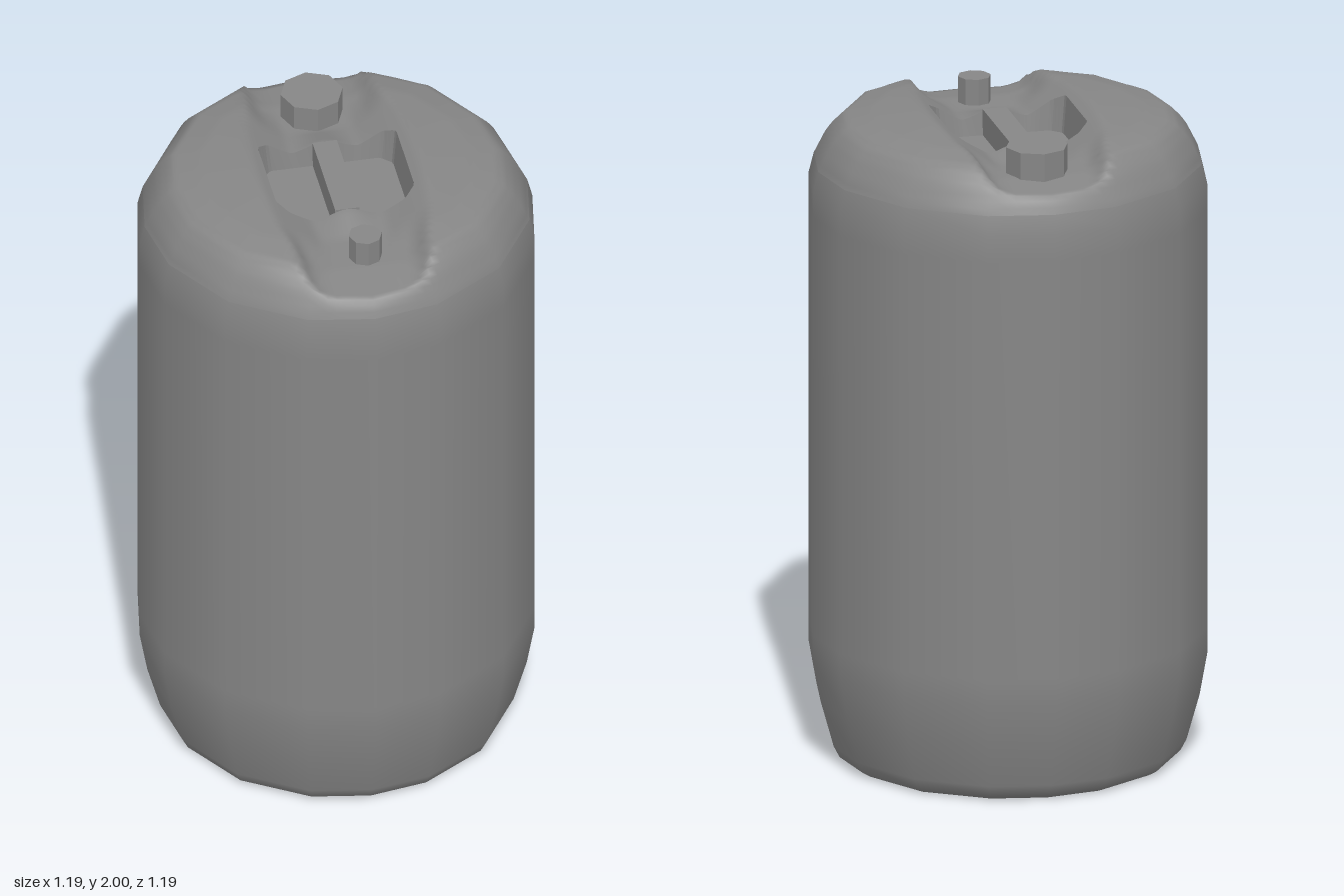
import * as THREE from 'three';

const DIRS = 128, RINGS = 44, LID_RADIUS = 0.58;
const TAU = Math.PI * 2;

// Piecewise-linear lookup in a short list of [x, y] points
function lookup(points, x) {
  for (let i = 1; i < points.length; i++) {
    const [x0, y0] = points[i - 1], [x1, y1] = points[i];
    if (x <= x1) return y0 + (y1 - y0) * (x - x0) / (x1 - x0);
  }
  return points.at(-1)[1];
}

const DOME = [[0, 2], [0.25, 2], [0.41, 1.986], [0.495, 1.967], [0.525, 1.937],
  [0.545, 1.91], [0.58, 1.84], [0.595, 1.78]];
// Channel cross-section near the handle, and steeper at the rim
const CHANNEL_MIDDLE = [[0, 1.91], [0.1, 1.91], [0.2, 1.974], [0.25, 2.002]];
const CHANNEL_END = [[0, 1.91], [0.11, 1.91], [0.16, 1.926], [0.2, 1.978], [0.22, 2.002]];

// Corners of one quarter of the 16-sided outline, slightly uneven
const CORNERS = [0, 7, 16, 25, 32].map(i => i / DIRS * TAU);

// Radius of the outline relative to its corners
function sideFactor(angle) {
  const a = Math.atan2(Math.abs(Math.sin(angle)), Math.abs(Math.cos(angle)));
  const i = Math.max(1, CORNERS.findIndex(corner => a <= corner + 1e-6));
  const from = CORNERS[i - 1], to = CORNERS[i];
  return Math.cos((to - from) / 2) / Math.cos(a - (from + to) / 2);
}

// Lid height: domed top cut by a front-to-back channel that swells at the handle ends
function lidHeight(x, z, factor) {
  const ax = Math.abs(x), az = Math.abs(z);
  const end = THREE.MathUtils.smoothstep(az, 0.25, 0.4);
  const swell = 0.035 * Math.exp(-((x / 0.07) ** 2)) * THREE.MathUtils.clamp(1 - (az - 0.17) / 0.1, 0, 1);
  const channel = THREE.MathUtils.lerp(lookup(CHANNEL_MIDDLE, ax), lookup(CHANNEL_END, ax), end)
    + swell - 0.14 * Math.max(0, az - 0.41);
  const dome = lookup(DOME, Math.hypot(x, z) / factor);
  return ax < 0.25 ? Math.min(dome, channel) : dome;
}

// Distance from the centre to the chamfered rectangle around the grip recess
function recessRadius(angle) {
  const c = Math.abs(Math.cos(angle)), s = Math.abs(Math.sin(angle));
  return Math.min(0.21 / Math.max(c, 1e-6), 0.17 / Math.max(s, 1e-6), 0.345 / (c + s));
}

// Upward-facing surface from rings ordered from the inside out
function ringSurface(ringCount, pointAt) {
  const positions = [], index = [];
  for (let r = 0; r < ringCount; r++) {
    for (let i = 0; i <= DIRS; i++) {
      positions.push(...pointAt(r, (i % DIRS) / DIRS * TAU));
      if (r + 1 < ringCount && i < DIRS) {
        const a = r * (DIRS + 1) + i, b = a + DIRS + 1;
        index.push(a, a + 1, b, b, a + 1, b + 1);
      }
    }
  }
  const geometry = new THREE.BufferGeometry();
  geometry.setAttribute('position', new THREE.Float32BufferAttribute(positions, 3));
  geometry.setIndex(index);
  return geometry;
}

function lidGeometry() {
  const geometry = ringSurface(RINGS + 1, (r, angle) => {
    const f = sideFactor(angle);
    const radius = THREE.MathUtils.lerp(recessRadius(angle), LID_RADIUS * f, r / RINGS);
    const x = radius * Math.cos(angle), z = radius * Math.sin(angle);
    return [x, lidHeight(x, z, f), z];
  });
  // Smooth normals from the slope of the height rule
  const p = geometry.attributes.position, normals = [], e = 0.02, n = new THREE.Vector3();
  for (let i = 0; i < p.count; i++) {
    const x = p.getX(i), z = p.getZ(i), f = sideFactor(Math.atan2(z, x));
    n.set(lidHeight(x - e, z, f) - lidHeight(x + e, z, f), 2 * e,
      lidHeight(x, z - e, f) - lidHeight(x, z + e, f)).normalize();
    normals.push(n.x, n.y, n.z);
  }
  geometry.setAttribute('normal', new THREE.Float32BufferAttribute(normals, 3));
  return geometry;
}

// Floor and slightly tapered walls of the grip recess
function recessGeometry() {
  const indexed = ringSurface(3, (r, angle) => {
    const radius = recessRadius(angle) * [0, 0.95, 1][r];
    const x = radius * Math.cos(angle), z = radius * Math.sin(angle);
    return [x, r < 2 ? 1.865 : lidHeight(x, z, sideFactor(angle)), z];
  });
  const geometry = indexed.toNonIndexed();
  geometry.computeVertexNormals();
  return geometry;
}

// Sixteen-sided barrel whose odd corners are turned toward the axes
function bodyGeometry() {
  const profile = [
    [0, 0.01], [0.42, 0.01], [0.45, 0.003], [0.49, 0], [0.515, 0.015], [0.533, 0.05],
    [0.572, 0.19], [0.595, 0.32], [0.596, 0.4], [0.596, 1.7], [0.595, 1.78], [LID_RADIUS, 1.84],
  ].map(([r, y]) => new THREE.Vector2(r, y));
  const geometry = new THREE.LatheGeometry(profile, 16);
  const { position, normal } = geometry.attributes;
  const v = new THREE.Vector3(), up = new THREE.Vector3(0, 1, 0);
  for (let i = 0; i < position.count; i++) {
    v.fromBufferAttribute(position, i);
    const turn = -TAU / DIRS * Math.sin(4 * Math.atan2(v.x, v.z));
    for (const attribute of [position, normal]) {
      v.fromBufferAttribute(attribute, i).applyAxisAngle(up, turn);
      attribute.setXYZ(i, v.x, v.y, v.z);
    }
  }
  return geometry;
}

export function createModel() {
  const group = new THREE.Group();
  const smooth = new THREE.MeshStandardMaterial({ color: 0x868686 });
  const flat = new THREE.MeshStandardMaterial({ color: 0x868686, flatShading: true });

  const add = (name, geometry, material, x = 0, y = 0, z = 0) => {
    const mesh = new THREE.Mesh(geometry, material);
    mesh.name = name;
    mesh.position.set(x, y, z);
    group.add(mesh);
  };

  // Barrel wall and base
  add('barrelBody', bodyGeometry(), smooth);

  // Lid with channel, grip recess and handle
  add('lid', lidGeometry(), smooth);
  add('gripRecess', recessGeometry(), flat);
  add('handle', new THREE.BoxGeometry(0.074, 0.085, 0.338), flat, 0, 1.9025, 0);

  // Eight-sided screw caps standing in the channel
  for (const [name, radius, x, z] of [['smallCap', 0.05, 0.015, 0.36], ['largeCap', 0.094, 0, -0.36]]) {
    add(name, new THREE.CylinderGeometry(radius, radius, 0.09, 8), flat, x, 1.945, z);
  }
  return group;
}
